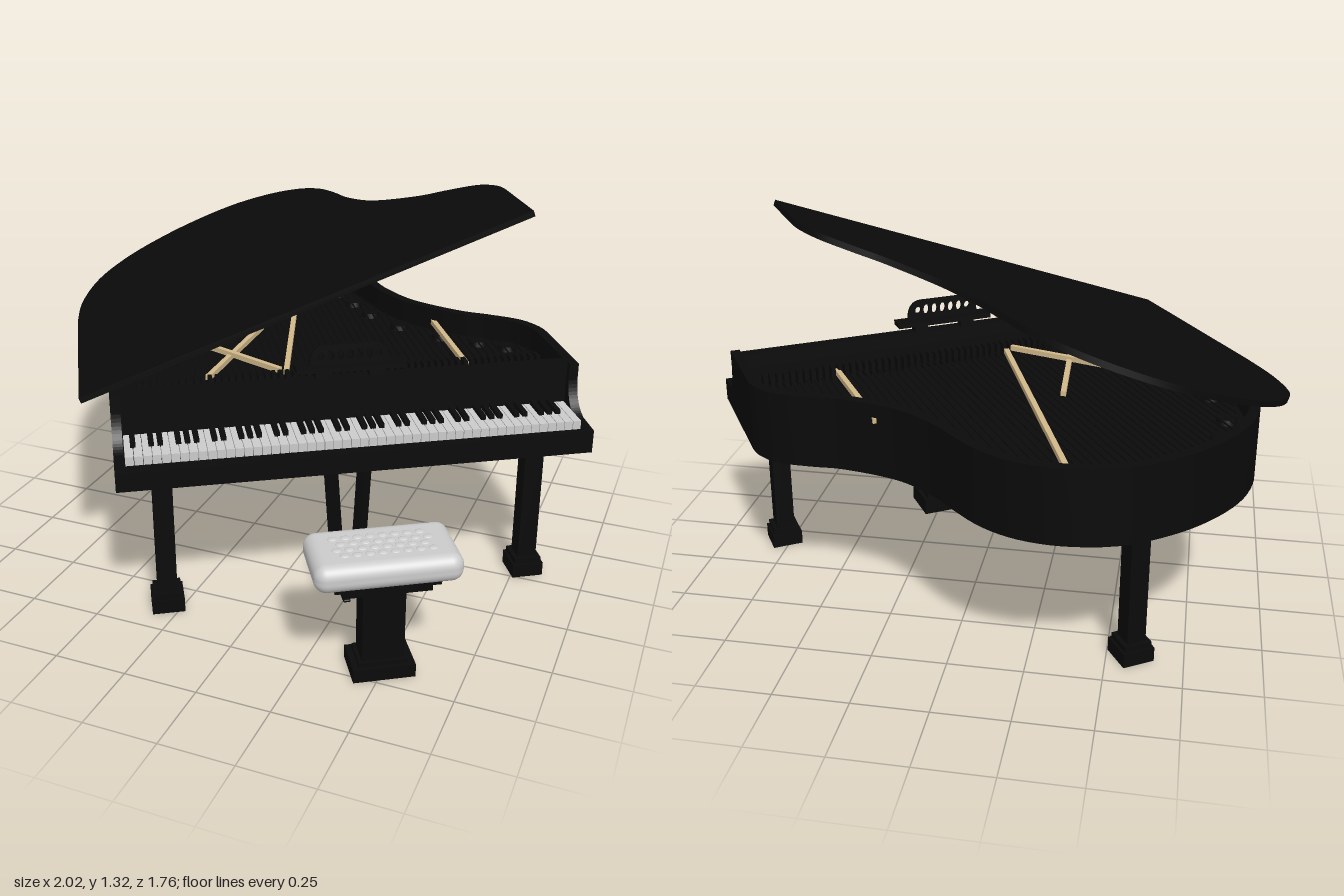
import * as THREE from 'three';
import { mergeGeometries, toCreasedNormals } from 'three/addons/utils/BufferGeometryUtils.js';
import { RoundedBoxGeometry } from 'three/addons/geometries/RoundedBoxGeometry.js';

const black = new THREE.MeshStandardMaterial({ color: 0x0a0a0a });
const grey = new THREE.MeshStandardMaterial({ color: 0xcccccc });
const wood = new THREE.MeshStandardMaterial({ color: 0xd2b98b });

function add(parent, name, geometry, material = black) {
  const mesh = new THREE.Mesh(geometry, material);
  mesh.name = name;
  parent.add(mesh);
  return mesh;
}

// box geometry centred on x, z and spanning y0 to y1
function box(w, d, y0, y1, x = 0, z = 0) {
  return new THREE.BoxGeometry(w, y1 - y0, d).translate(x, (y0 + y1) / 2, z);
}

// bar between two points
function bar(a, b, w, h) {
  const from = new THREE.Vector3(...a), to = new THREE.Vector3(...b);
  const g = new THREE.BoxGeometry(w, h, from.distanceTo(to));
  const pose = new THREE.Object3D();
  pose.position.copy(from).add(to).multiplyScalar(0.5);
  pose.lookAt(to);
  pose.updateMatrix();
  return g.applyMatrix4(pose.matrix);
}

// plan of the curved case: x across, y towards the tail
function outline() {
  const s = new THREE.Shape();
  s.moveTo(-0.784, 0.19);
  s.lineTo(0.784, 0.19);
  s.lineTo(0.784, 0.47);
  s.splineThru([
    [0.775, 0.53], [0.73, 0.611], [0.633, 0.683], [0.546, 0.738], [0.437, 0.841], [0.374, 0.928],
    [0.325, 1.049], [0.303, 1.145], [0.262, 1.275], [0.188, 1.386], [0.071, 1.475], [-0.09, 1.53],
    [-0.291, 1.52], [-0.469, 1.463], [-0.6, 1.38], [-0.7, 1.26], [-0.765, 1.08], [-0.784, 0.9],
  ].map(p => new THREE.Vector2(...p)));
  const points = s.getPoints(4);
  return points.filter((p, i) => i === 0 || p.distanceTo(points[i - 1]) > 1e-4);
}

// move a counter-clockwise outline inwards by t
function inset(points, t) {
  const n = points.length;
  return points.map((p, i) => {
    const a = p.clone().sub(points[(i + n - 1) % n]).normalize();
    const b = points[(i + 1) % n].clone().sub(p).normalize();
    const na = new THREE.Vector2(-a.y, a.x), nb = new THREE.Vector2(-b.y, b.x);
    return na.clone().add(nb).multiplyScalar(t / (1 + na.dot(nb))).add(p);
  });
}

function slab(shape, height) {
  const g = new THREE.ExtrudeGeometry(shape, { depth: height, bevelEnabled: false, curveSegments: 12 });
  return toCreasedNormals(g.rotateX(-Math.PI / 2), 0.5);
}

function buildCase(piano) {
  const outer = outline(), inner = inset(outer, 0.035);
  const rim = new THREE.Shape(outer);
  rim.holes.push(new THREE.Path(inner));
  add(piano, 'rim', slab(rim, 0.25)).position.y = 0.54;
  add(piano, 'bottomBoard', slab(new THREE.Shape(inner), 0.03)).position.y = 0.54;
  add(piano, 'ironPlate', slab(new THREE.Shape(inner), 0.015)).position.y = 0.69;

  // strings run back until they meet the rim
  const strings = [];
  for (let i = 0; i < 56; i++) {
    const x = -0.72 + i * 0.0262;
    let back = 0;
    inner.forEach((p, k) => {
      const q = inner[(k + 1) % inner.length];
      if ((p.x - x) * (q.x - x) < 0) {
        back = Math.max(back, p.y + (q.y - p.y) * (x - p.x) / (q.x - p.x));
      }
    });
    if (back > 0.45) strings.push(bar([x, 0.722, -0.3], [x, 0.722, -back + 0.06], 0.004, 0.004));
  }
  add(piano, 'strings', mergeGeometries(strings));

  // dampers, pin rail and rounded plate bosses
  const dampers = [];
  for (let i = 0; i < 60; i++) dampers.push(box(0.014, 0.04, 0.7, 0.755, -0.71 + i * 0.024, -0.36));
  add(piano, 'dampers', mergeGeometries(dampers));
  add(piano, 'pinRail', box(1.49, 0.07, 0.69, 0.74, 0, -0.27));
  const bosses = inset(outer, 0.1).filter((p, i) => i > 4 && i % 5 === 0 && p.y > 0.5)
    .map(p => new THREE.CylinderGeometry(0.03, 0.035, 0.02, 16).translate(p.x, 0.713, -p.y));
  add(piano, 'plateBosses', mergeGeometries(bosses));

  // wooden braces over the plate
  [
    [[0.45, 0.735, -0.83], [0.45, 0.735, -0.36]],
    [[0.05, 0.735, -1.45], [-0.18, 0.735, -0.4]],
    [[-0.2, 0.735, -0.85], [-0.45, 0.735, -0.4]],
    [[-0.45, 0.745, -0.7], [-0.2, 0.745, -0.4]],
  ].forEach(([a, b]) => add(piano, 'brace', bar(a, b, 0.018, 0.018), wood));

  // raised lid, hinged along the straight side
  const lidPlan = outer.map(p => new THREE.Vector2(p.x + 0.784, p.y + 0.006));
  const lid = add(piano, 'lid', slab(new THREE.Shape(lidPlan), 0.02));
  lid.position.set(-0.873, 0.765, 0);
  lid.rotation.z = 0.351;
}

function buildKeyboard(piano) {
  add(piano, 'keybed', box(1.568, 0.2, 0.54, 0.612, 0, -0.1));
  add(piano, 'keySlip', box(1.568, 0.02, 0.6, 0.62, 0, -0.01));
  add(piano, 'fallboard', box(1.52, 0.04, 0.6, 0.79, 0, -0.21));

  // scooped cheeks at both ends
  const s = new THREE.Shape();
  s.moveTo(-0.2, 0.54);
  s.lineTo(0, 0.54);
  s.lineTo(0, 0.62);
  s.lineTo(-0.09, 0.625);
  s.quadraticCurveTo(-0.16, 0.645, -0.17, 0.73);
  s.lineTo(-0.17, 0.79);
  s.lineTo(-0.2, 0.79);
  const cheek = new THREE.ExtrudeGeometry(s, { depth: 0.032, bevelEnabled: false }).rotateY(-Math.PI / 2);
  for (const x of [-0.752, 0.784]) add(piano, 'cheek', cheek).position.x = x;

  // 52 white keys, 36 black keys
  const pitch = 1.5 / 52, whites = [], blacks = [];
  for (let i = 0; i < 52; i++) {
    const x = -0.75 + (i + 0.5) * pitch;
    whites.push(box(pitch - 0.002, 0.16, 0.61, 0.645, x, -0.11));
    if (i < 51 && ![1, 4].includes(i % 7)) blacks.push(box(0.017, 0.095, 0.64, 0.66, x + pitch / 2, -0.142));
  }
  add(piano, 'whiteKeys', mergeGeometries(whites), grey);
  add(piano, 'blackKeys', mergeGeometries(blacks));
}

function buildMusicDesk(piano) {
  const desk = new THREE.Group();
  desk.name = 'musicDesk';
  desk.position.z = -0.215;
  piano.add(desk);
  add(desk, 'deskShelf', box(0.36, 0.06, 0.815, 0.833));
  for (const x of [-0.09, 0.09]) add(desk, 'deskFoot', box(0.05, 0.04, 0.785, 0.82, x));
  const s = new THREE.Shape();
  s.moveTo(-0.135, 0.83);
  s.lineTo(0.135, 0.83);
  s.bezierCurveTo(0.135, 0.89, 0.11, 0.905, 0.08, 0.905);
  s.lineTo(-0.08, 0.905);
  s.bezierCurveTo(-0.11, 0.905, -0.135, 0.89, -0.135, 0.83);
  for (let i = -3; i <= 3; i++) {
    const hole = new THREE.Path();
    hole.absellipse(i * 0.032, 0.868, 0.011, Math.abs(i) === 3 ? 0.013 : 0.019, 0, Math.PI * 2, true);
    s.holes.push(hole);
  }
  add(desk, 'deskPanel', new THREE.ExtrudeGeometry(s, { depth: 0.012, bevelEnabled: false }));
}

function buildLeg(piano, x, z) {
  const leg = new THREE.Group();
  leg.name = 'leg';
  leg.position.set(x, 0, z);
  piano.add(leg);
  add(leg, 'legFoot', box(0.11, 0.11, 0, 0.05));
  add(leg, 'legFootTop', box(0.095, 0.095, 0.05, 0.07));
  add(leg, 'legColumn', box(0.066, 0.066, 0.07, 0.5));
  add(leg, 'legCapital', new RoundedBoxGeometry(0.145, 0.05, 0.145, 3, 0.02).translate(0, 0.506, 0));
  add(leg, 'legCapitalTop', box(0.16, 0.16, 0.505, 0.545));
}

function buildLyre(piano) {
  const lyre = new THREE.Group();
  lyre.name = 'pedalLyre';
  lyre.position.z = -0.2;
  piano.add(lyre);
  add(lyre, 'lyreBase', box(0.21, 0.15, 0.05, 0.11));
  add(lyre, 'lyreBaseMiddle', box(0.18, 0.12, 0.11, 0.135));
  add(lyre, 'lyreBaseTop', box(0.13, 0.08, 0.135, 0.155));
  for (const side of [-1, 1]) {
    add(lyre, 'lyrePost', bar([side * 0.04, 0.14, 0], [side * 0.065, 0.55, -0.02], 0.036, 0.036));
  }
  for (const x of [-0.05, 0, 0.05]) {
    add(lyre, 'pedalArm', box(0.012, 0.12, 0.07, 0.08, x, 0.12));
    add(lyre, 'pedal', new RoundedBoxGeometry(0.024, 0.01, 0.07, 2, 0.004).translate(x, 0.075, 0.2));
  }
}

function buildBench(piano) {
  const bench = new THREE.Group();
  bench.name = 'bench';
  bench.position.z = 0.298;
  piano.add(bench);
  add(bench, 'benchFoot', box(0.2, 0.14, 0, 0.045));
  add(bench, 'benchFootTop', box(0.16, 0.11, 0.045, 0.06));
  add(bench, 'benchColumn', box(0.135, 0.09, 0.05, 0.34));
  add(bench, 'benchBracket', box(0.28, 0.16, 0.32, 0.345));
  add(bench, 'benchPlate', box(0.33, 0.18, 0.345, 0.365));
  add(bench, 'benchKnob', new THREE.CylinderGeometry(0.022, 0.022, 0.05, 16).rotateZ(Math.PI / 2).translate(0.12, 0.305, 0));
  add(bench, 'cushion', new RoundedBoxGeometry(0.46, 0.092, 0.25, 5, 0.04).translate(0, 0.406, 0), grey);
  // tufts in staggered rows
  const tufts = [];
  for (let row = 0; row < 4; row++) {
    for (let i = 0; i < 8; i++) {
      tufts.push(new THREE.SphereGeometry(0.017, 12, 8).scale(1, 0.3, 0.8)
        .translate(-0.145 + i * 0.039 + (row % 2) * 0.018, 0.451, -0.05 + row * 0.033));
    }
  }
  add(bench, 'cushionTufts', mergeGeometries(tufts), grey);
}

export function createModel() {
  const model = new THREE.Group();
  model.name = 'grandPiano';
  const piano = new THREE.Group();
  piano.name = 'pianoAndBench';
  piano.position.set(0.325, 0, 0.415);
  piano.rotation.y = 0.558;
  model.add(piano);
  buildCase(piano);
  buildKeyboard(piano);
  buildMusicDesk(piano);
  [[-0.635, -0.17], [0.64, -0.17], [-0.229, -1.34]].forEach(([x, z]) => buildLeg(piano, x, z));
  buildLyre(piano);
  buildBench(piano);
  return model;
}
